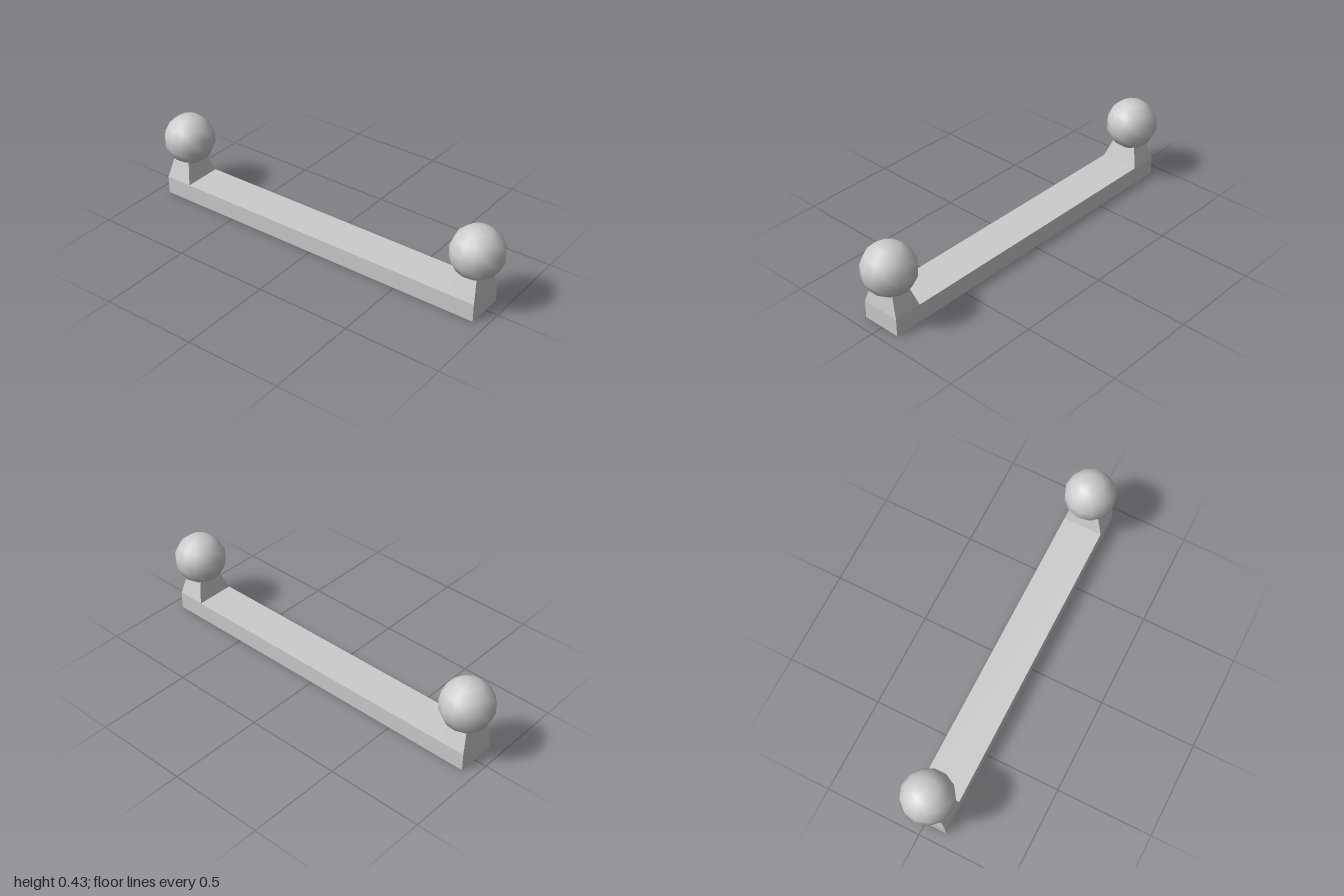
import * as THREE from 'three';

const material = new THREE.MeshStandardMaterial({ color: 0xcccccc });
const flat = new THREE.MeshStandardMaterial({ color: 0xcccccc, flatShading: true });

// Box spanning given x, y, z ranges; optional top ranges taper its upper face
function block(name, x, y, z, topX = x, topZ = z) {
  const geo = new THREE.BoxGeometry(1, 1, 1);
  const p = geo.attributes.position;
  for (let i = 0; i < p.count; i++) {
    const up = p.getY(i) > 0;
    const xr = up ? topX : x, zr = up ? topZ : z;
    p.setXYZ(i, xr[p.getX(i) > 0 ? 1 : 0], y[up ? 1 : 0], zr[p.getZ(i) > 0 ? 1 : 0]);
  }
  geo.computeVertexNormals();
  const mesh = new THREE.Mesh(geo, flat);
  mesh.name = name;
  return mesh;
}

export function createModel() {
  const group = new THREE.Group();
  group.name = 'barWithKnobs';
  const width = [-0.112, 0.095];

  // Long base bar
  group.add(block('bar', width, [0, 0.095], [-0.935, 0.935]));

  // Tapered post and ball at each end
  for (const side of [1, -1]) {
    const label = side > 0 ? 'front' : 'back';
    const span = (inner, outer) => (side > 0 ? [inner, outer] : [-outer, -inner]);
    group.add(block(label + 'Post', width, [0.095, 0.22],
      span(0.788, 0.935), [-0.067, 0.053], span(0.826, 0.915)));

    const ball = new THREE.Mesh(
      new THREE.SphereGeometry(0.134, 13, 7, -Math.PI / 2), material);
    ball.name = label + 'Ball';
    ball.position.set(0, 0.3, side > 0 ? 0.873 : -0.869);
    group.add(ball);
  }
  return group;
}
